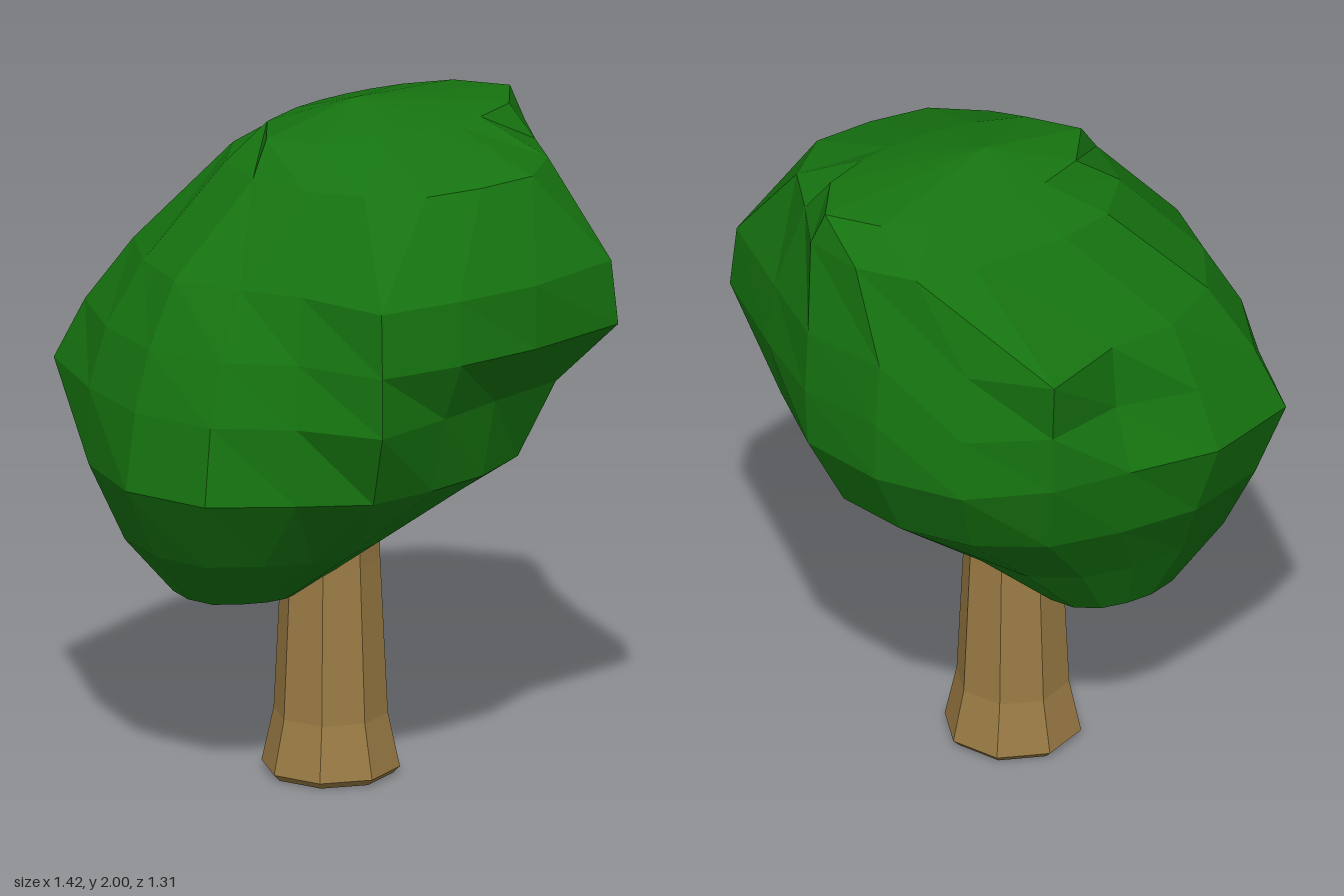
import * as THREE from 'three';

const SIDES = 16;
const angleOf = (j) => (j / SIDES) * Math.PI * 2;

// Canopy cross-sections from top to bottom: height, centre x/z, and the
// radius in each direction, turning from +x towards +z.
const BODY = [
  { y: 1.84, c: [0.18, 0.05], r: [0.48, 0.43, 0.46, 0.48, 0.45, 0.46, 0.45, 0.46, 0.48, 0.48, 0.45, 0.39, 0.36, 0.39, 0.47, 0.48] },
  { y: 1.57, c: [0, 0], r: [0.7, 0.7, 0.82, 0.7, 0.64, 0.66, 0.48, 0.48, 0.54, 0.54, 0.56, 0.55, 0.52, 0.67, 0.62, 0.67] },
  { y: 1.38, c: [0, 0], r: [0.71, 0.72, 0.84, 0.7, 0.65, 0.67, 0.53, 0.58, 0.63, 0.65, 0.7, 0.64, 0.54, 0.64, 0.67, 0.69] },
  { y: 1.2, c: [0, 0], r: [0.7, 0.68, 0.66, 0.56, 0.57, 0.67, 0.57, 0.64, 0.68, 0.7, 0.79, 0.71, 0.62, 0.64, 0.69, 0.69] },
  { y: 0.97, c: [0, 0], r: [0.58, 0.57, 0.55, 0.52, 0.51, 0.56, 0.57, 0.67, 0.71, 0.7, 0.7, 0.63, 0.57, 0.57, 0.57, 0.57] },
  { y: 0.74, c: [-0.12, -0.04], r: [0.37, 0.34, 0.3, 0.3, 0.32, 0.34, 0.37, 0.44, 0.46, 0.47, 0.48, 0.43, 0.4, 0.4, 0.4, 0.38] },
];

// Oval crown on top; the underside repeats the lowest section at half size.
function canopyRings() {
  const oval = Array.from({ length: SIDES }, (_, j) =>
    1 / Math.hypot(Math.cos(angleOf(j)) / 0.43, Math.sin(angleOf(j)) / 0.21));
  const crown = { y: 1.94, c: [0.2, 0.02], r: oval };
  const underside = { y: 0.55, c: [-0.16, -0.14], r: BODY[BODY.length - 1].r.map((r) => r * 0.5) };
  return [crown, ...BODY, underside];
}

// Skins the cross-sections and closes both ends with a fan.
function loftGeometry(rings, top, bottom) {
  const loops = rings.map(({ y, c, r }) => r.map((radius, j) =>
    [c[0] + radius * Math.cos(angleOf(j)), y, c[1] + radius * Math.sin(angleOf(j))]));
  const positions = [];
  const triangle = (a, b, c) => positions.push(...a, ...b, ...c);
  const last = loops.length - 1;
  for (let j = 0; j < SIDES; j++) {
    const k = (j + 1) % SIDES;
    triangle(top, loops[0][k], loops[0][j]);
    for (let i = 0; i < last; i++) {
      const [a, b, c, d] = [loops[i][j], loops[i][k], loops[i + 1][j], loops[i + 1][k]];
      triangle(a, b, c);
      triangle(b, d, c);
    }
    triangle(bottom, loops[last][j], loops[last][k]);
  }
  const geometry = new THREE.BufferGeometry();
  geometry.setAttribute('position', new THREE.Float32BufferAttribute(positions, 3));
  geometry.computeVertexNormals();
  return geometry;
}

function addMesh(group, name, geometry, color) {
  const material = new THREE.MeshStandardMaterial({ color, flatShading: true });
  const mesh = new THREE.Mesh(geometry, material);
  mesh.name = name;
  group.add(mesh);
  return mesh;
}

export function createModel() {
  const tree = new THREE.Group();
  tree.name = 'tree';

  // Eight-sided trunk with a flared foot, running up into the leaves
  const profile = [[0, 0], [0.18, 0], [0.2, 0.02], [0.165, 0.18], [0.143, 0.64], [0.14, 0.8], [0, 0.95]]
    .map(([r, y]) => new THREE.Vector2(r, y));
  addMesh(tree, 'trunk', new THREE.LatheGeometry(profile, 8), 0x9a7b44).position.x = 0.012;

  // Faceted, lopsided mass of leaves
  addMesh(tree, 'canopy', loftGeometry(canopyRings(), [0.1, 2, 0], [-0.17, 0.53, -0.15]), 0x167410);

  return tree;
}
